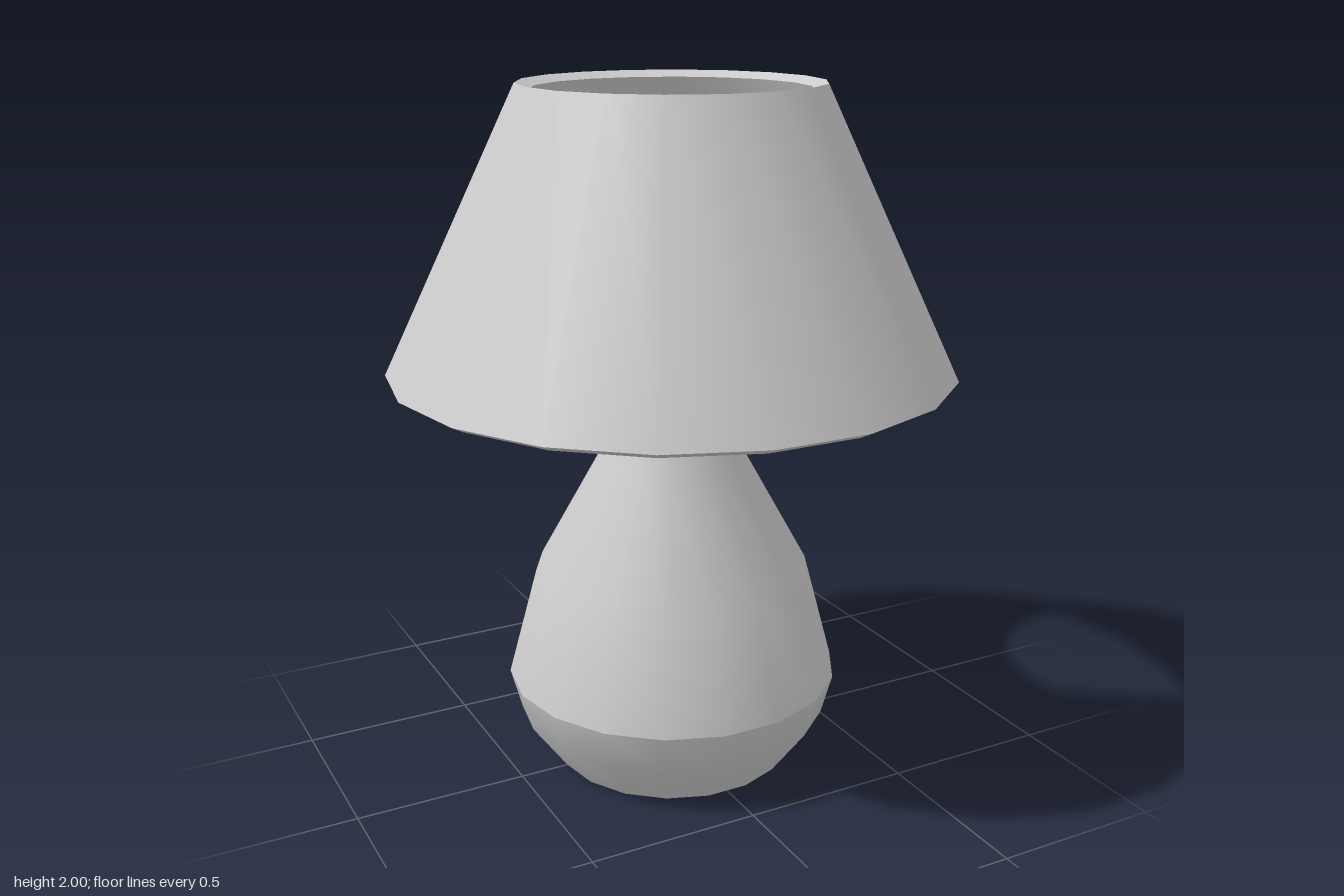
import * as THREE from 'three';
import { mergeGeometries } from 'three/addons/utils/BufferGeometryUtils.js';

const SIDES = 18;
const grey = new THREE.MeshStandardMaterial({ color: 0xcccccc });

// Turns each profile strip separately, so edges between strips stay sharp
function turned(name, strips, sides = SIDES) {
  const parts = strips.map((points) => new THREE.LatheGeometry(
    points.map(([r, y]) => new THREE.Vector2(r, y)), sides, Math.PI / 2));
  const mesh = new THREE.Mesh(mergeGeometries(parts), grey);
  mesh.name = name;
  return mesh;
}

export function createModel() {
  const lamp = new THREE.Group();
  lamp.name = 'tableLamp';

  // Vase-shaped base: foot, belly rising to the neck, sloped cap
  lamp.add(turned('base', [
    [[0, 0], [0.355, 0]],
    [[0.355, 0], [0.46, 0.145], [0.492, 0.265]],
    [[0.492, 0.265], [0.405, 0.59], [0.22, 0.925], [0.143, 1.21]],
    [[0.143, 1.21], [0.035, 1.25]],
  ]));

  // Bulb on its narrow stem
  lamp.add(turned('bulb', [
    [[0.04, 1.23], [0.04, 1.31], [0.068, 1.35], [0.073, 1.395], [0.04, 1.46]],
    [[0.04, 1.46], [0, 1.465]],
  ], 12));

  // Thick conical shade: outer wall, top rim, inner wall, bottom rim
  const outerLow = [0.813, 1.2], outerTop = [0.428, 2];
  const innerTop = [0.39, 1.982], innerLow = [0.775, 1.18];
  lamp.add(turned('shade', [
    [outerLow, outerTop],
    [outerTop, innerTop],
    [innerTop, innerLow],
    [innerLow, outerLow],
  ]));

  // Four struts rising from the neck to the inside of the shade
  const start = new THREE.Vector2(0.125, 1.165);
  const end = new THREE.Vector2(0.675, 1.428);
  const rise = end.clone().sub(start);
  for (let i = 0; i < 4; i++) {
    const strut = new THREE.Mesh(new THREE.BoxGeometry(rise.length(), 0.05, 0.06), grey);
    strut.position.set((start.x + end.x) / 2, (start.y + end.y) / 2, 0);
    strut.rotation.z = rise.angle();
    const arm = new THREE.Group();
    arm.name = 'strut' + (i + 1);
    arm.rotation.y = Math.PI / 4 + i * Math.PI / 2;
    arm.add(strut);
    lamp.add(arm);
  }
  return lamp;
}
